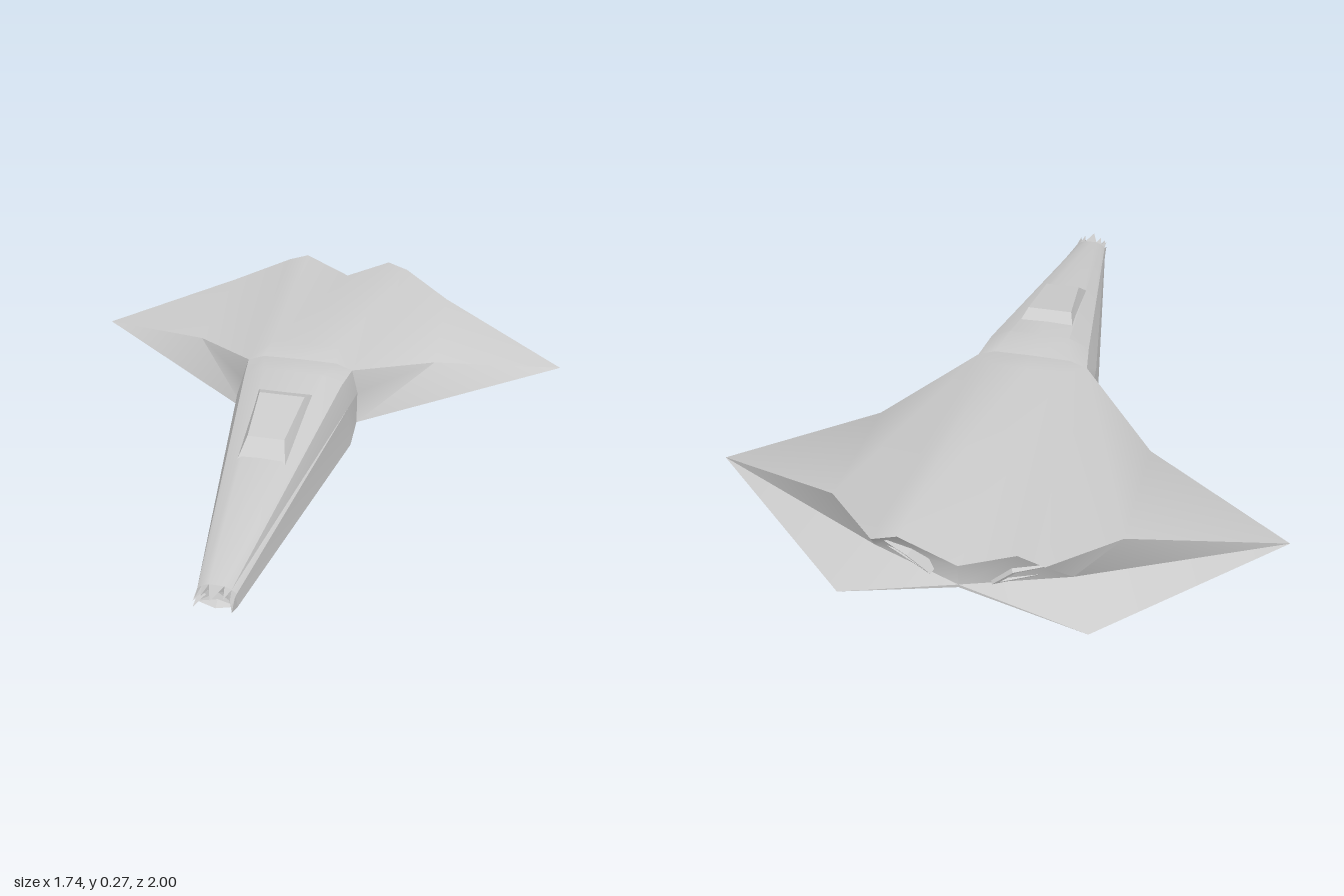
import * as THREE from 'three';
import { toCreasedNormals } from 'three/addons/utils/BufferGeometryUtils.js';

const grey = new THREE.MeshStandardMaterial({ color: 0xcccccc, side: THREE.DoubleSide });

// Mesh from polygons (arrays of [x, y, z] corners), optionally mirrored across x = 0
function polyMesh(name, polygons, { mirror = true, crease = 0.5 } = {}) {
  const pos = [];
  const add = (p) => {
    for (let i = 1; i < p.length - 1; i++) pos.push(...p[0], ...p[i], ...p[i + 1]);
  };
  for (const p of polygons) {
    add(p);
    if (mirror) add(p.map(([x, y, z]) => [-x, y, z]).reverse());
  }
  let geo = new THREE.BufferGeometry();
  geo.setAttribute('position', new THREE.Float32BufferAttribute(pos, 3));
  geo = toCreasedNormals(geo, crease);
  const mesh = new THREE.Mesh(geo, grey);
  mesh.name = name;
  return mesh;
}

// Half section of the forward fuselage: centre top, strip edge, shoulder, ridge, ledge, chine, centre bottom
const section = (z, pts) => pts.map(([x, y]) => [x, y, z]);
const NOSE = section(0.93, [[0, 0.1], [0.022, 0.1], [0.042, 0.092], [0.056, 0.08], [0.052, 0.074], [0.058, 0.036], [0, 0.036]]);
const MID = section(0, [[0, 0.268], [0.1, 0.266], [0.165, 0.235], [0.192, 0.16], [0.185, 0.15], [0.2, 0.01], [0, 0.01]]);
const AFT = section(-0.11, [[0, 0.257], [0.125, 0.255], [0.18, 0.235], [0.2, 0.153], [0.2, 0.147], [0.2, 0.035], [0, 0.014]]);

function forwardFuselage() {
  const faces = [];
  for (const [a, b] of [[NOSE, MID], [MID, AFT]])
    for (let i = 0; i < a.length - 1; i++) faces.push([a[i], a[i + 1], b[i + 1], b[i]]);
  return polyMesh('forwardFuselage', faces);
}

// Blunt nose end with a crown of small pointed teeth
function noseCrown() {
  const faces = [];
  const centre = [0, 0.068, 0.92];
  const left = NOSE.slice(1, 6);
  const ring = [...left, ...left.map(([x, y, z]) => [-x, y, z]).reverse()];
  ring.forEach((b, i) => {
    const a = ring[(i + ring.length - 1) % ring.length];
    const mid = a.map((v, k) => (v + b[k]) / 2);
    const inner = mid.map((v, k) => v + (centre[k] - v) * 0.4);
    const tip = [mid[0], mid[1], i === 0 ? 1 : i === 5 ? 0.95 : 0.98];
    faces.push([a, b, tip], [b, inner, tip], [inner, a, tip], [b, centre, a]);
  });
  return polyMesh('noseCrown', faces, { mirror: false, crease: 0.1 });
}

// Blended centre body and diamond wings
function wingBody() {
  const [S0, S1, S2, M, , L, L0] = AFT;
  const K0 = [0, 0.27, -0.2], K1 = [0.115, 0.27, -0.2];       // spine crest
  const P = [0.43, 0.155, -0.38], T = [0.87, 0.07, -0.6];     // wing crease and tip
  const Q = [0.42, 0.2, -0.82], R2 = [0.24, 0.228, -1];       // upper trailing edge
  const R = [0.165, 0.253, -1], C = [0, 0.18, -1];            // notched spine end
  const E1 = [0, 0.11, -1], E = [0, 0.1, -1];                 // raised tail centre
  const F = [0.29, 0.065, -0.86], B = [0.36, 0, -1];          // tail plate
  const U = [0, 0.03, -0.45];                                 // belly
  return polyMesh('wingBody', [
    [S0, S1, K1, K0], [K0, K1, R, C],                         // spine
    [S1, S2, K1], [S2, R2, K1], [R2, R, K1],                  // spine flanks
    [S2, P, Q], [S2, Q, R2], [P, T, Q],                       // upper wing
    [S2, M, P], [M, L, P], [L, T, P],                         // leading faces
    [U, L, L0], [U, T, L], [U, B, T], [U, E, B],              // underside
    [T, B, F], [B, E1, F], [B, E, E1],                        // tail plate
    [T, F, Q], [F, R2, Q], [F, R, R2], [F, E1, C, R],         // rear faces
  ], { crease: 0.9 });
}

// Faceted cockpit cover
function canopy() {
  const base = [[0.076, 0.18, 0.437], [0.098, 0.235, 0.07]];
  const top = [[0.058, 0.233, 0.37], [0.074, 0.266, 0.155]];
  const flip = ([x, y, z]) => [-x, y, z];
  return polyMesh('canopy', [
    [flip(top[0]), top[0], top[1], flip(top[1])],
    [flip(base[0]), base[0], top[0], flip(top[0])],
    [base[0], base[1], top[1], top[0]],
    [flip(base[1]), flip(base[0]), flip(top[0]), flip(top[1])],
    [base[1], flip(base[1]), flip(top[1]), top[1]],
  ], { mirror: false, crease: 0.1 });
}

// Trapezoid exhaust frame set in the slanted rear face
function exhaustFrame() {
  const trapezoid = (Shape, k) => {
    const s = new Shape();
    const pts = [[-0.105, -0.037], [0.105, -0.037], [0.055, 0.037], [-0.055, 0.037]];
    s.setFromPoints(pts.map(([x, y]) => new THREE.Vector2(x * k, y * k)));
    return s;
  };
  const shape = trapezoid(THREE.Shape, 1);
  shape.holes.push(trapezoid(THREE.Path, 0.8));
  const geo = new THREE.ExtrudeGeometry(shape, { depth: 0.03, bevelEnabled: false });
  geo.translate(0, 0, -0.022);
  const mesh = new THREE.Mesh(geo, grey);
  mesh.rotation.set(0.5, 2.66, 0, 'YXZ');
  mesh.position.set(0.185, 0.142, -0.936);
  mesh.name = 'exhaustFrame';
  return mesh;
}

export function createModel() {
  const model = new THREE.Group();
  model.name = 'deltaAircraft';
  model.add(forwardFuselage(), noseCrown(), wingBody(), canopy());
  for (const side of [1, -1]) {
    const exhaust = new THREE.Group();
    exhaust.name = side > 0 ? 'leftExhaust' : 'rightExhaust';
    exhaust.add(exhaustFrame());
    exhaust.scale.x = side;
    model.add(exhaust);
  }
  return model;
}
